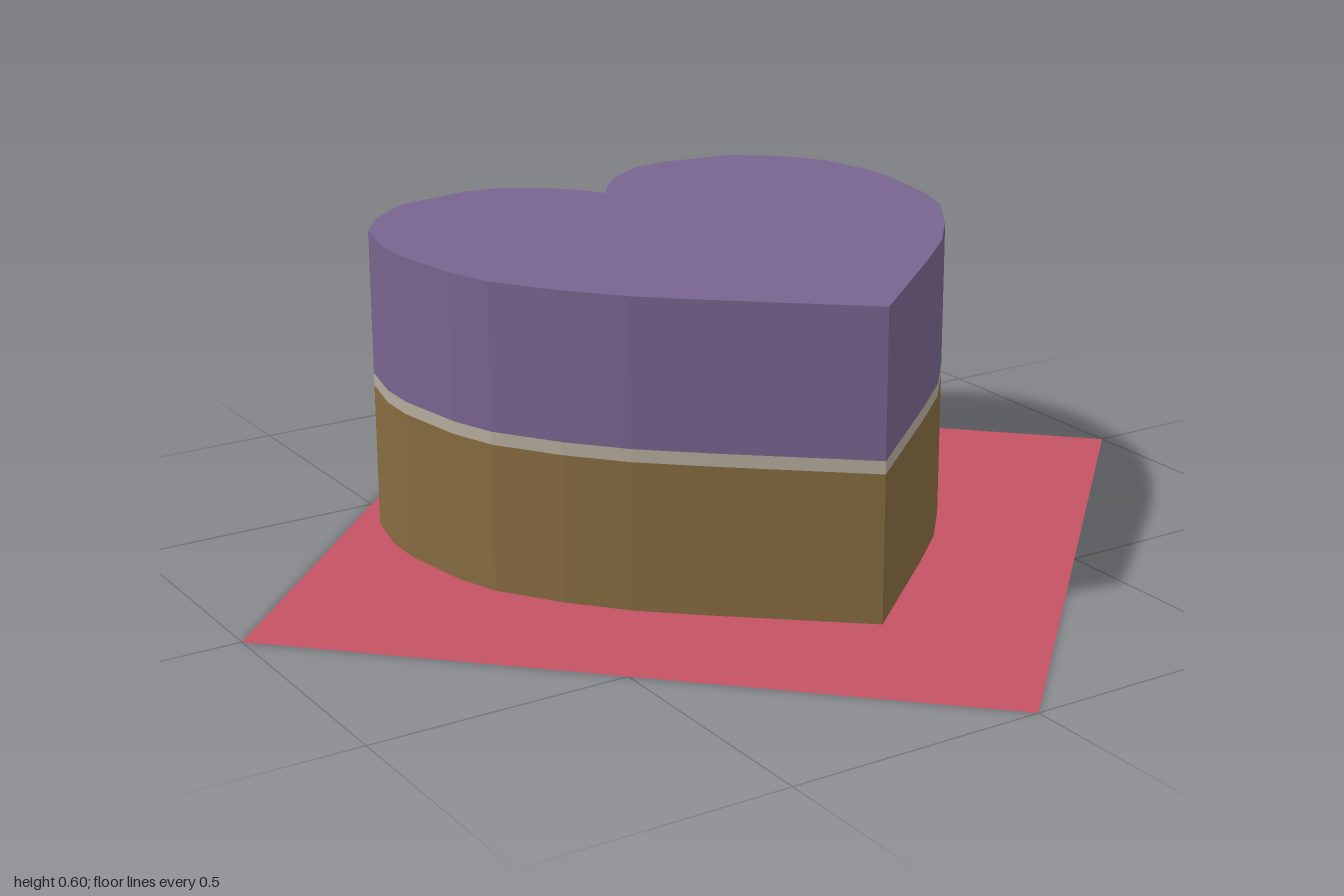
import * as THREE from 'three';

// Right half of the heart outline (x, z), from the notch to the tip
const HALF = [
  [0, -0.4], [0.03, -0.445], [0.08, -0.5], [0.155, -0.55], [0.235, -0.565],
  [0.39, -0.54], [0.48, -0.47], [0.535, -0.39], [0.56, -0.28], [0.563, -0.2],
  [0.54, -0.05], [0.51, 0.04], [0.43, 0.16], [0.345, 0.26], [0.24, 0.355], [0, 0.56],
];

function heartShape() {
  const right = HALF.map(([x, z]) => new THREE.Vector2(x, -z));
  const left = HALF.slice(1, -1).reverse().map(([x, z]) => new THREE.Vector2(-x, -z));
  return new THREE.Shape([...right, ...left]);
}

// One upright heart-shaped layer between two heights
function layer(name, shape, bottom, top, color) {
  const geometry = new THREE.ExtrudeGeometry(shape, { depth: top - bottom, bevelEnabled: false });
  geometry.rotateX(-Math.PI / 2);
  const mesh = new THREE.Mesh(geometry, new THREE.MeshStandardMaterial({ color, flatShading: true }));
  mesh.name = name;
  mesh.position.y = bottom;
  return mesh;
}

export function createModel() {
  const model = new THREE.Group();
  model.name = 'heartBox';

  // Box body, pale seam and lid
  const shape = heartShape();
  model.add(
    layer('boxBody', shape, 0.002, 0.29, 0x866b40),
    layer('seam', shape, 0.29, 0.315, 0xb5ab9c),
    layer('lid', shape, 0.315, 0.6, 0x78648f),
  );

  // Thin square sheet, turned to a diamond
  const sheetGeometry = new THREE.PlaneGeometry(Math.SQRT2, Math.SQRT2);
  sheetGeometry.rotateX(-Math.PI / 2).rotateY(Math.PI / 4);
  const sheet = new THREE.Mesh(
    sheetGeometry,
    new THREE.MeshStandardMaterial({ color: 0xc45264, side: THREE.DoubleSide }),
  );
  sheet.name = 'sheet';
  model.add(sheet);

  return model;
}
